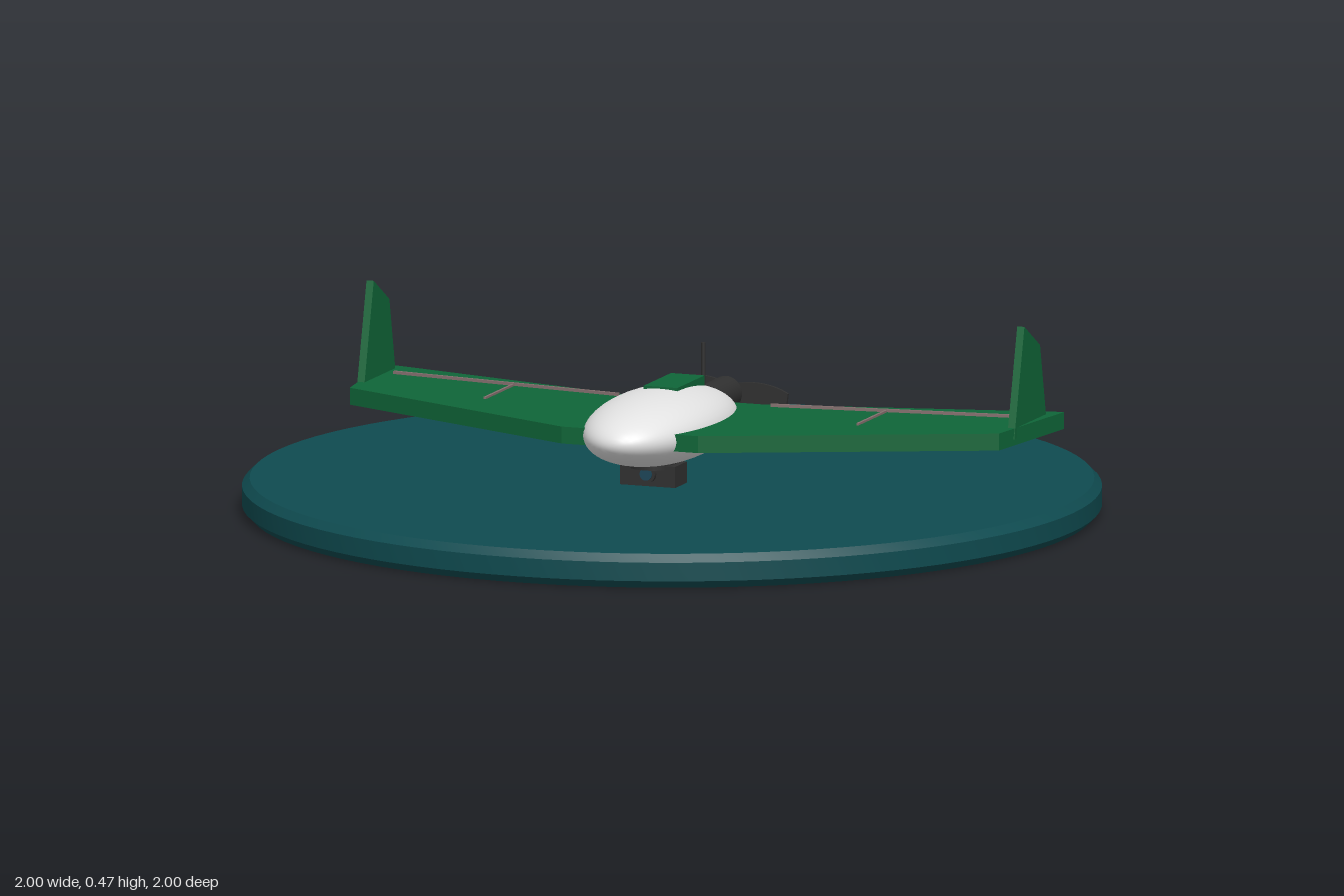
import * as THREE from 'three';
import { toCreasedNormals } from 'three/addons/utils/BufferGeometryUtils.js';

const mat = (name, color, side = THREE.FrontSide) => {
  const m = new THREE.MeshStandardMaterial({ color, side });
  m.name = name;
  return m;
};

// Closed polygon with straight edges
function polygon(points) {
  return new THREE.Shape(points.map(([x, y]) => new THREE.Vector2(x, y)));
}

function extrude(shape, depth) {
  return new THREE.ExtrudeGeometry(shape, { depth, bevelEnabled: false, curveSegments: 16 });
}

export function createModel() {
  const model = new THREE.Group();
  model.name = 'flyingWingOnStand';

  const teal = mat('teal', 0x0f4b50);
  const green = mat('green', 0x0f6638);
  const white = mat('offWhite', 0xe2e2e2);
  const dark = mat('charcoal', 0x303030);
  const silver = mat('silver', 0xb4b4b4);
  const seam = mat('seamGrey', 0x85706f);
  const glass = mat('lensBlue', 0x1c4658);

  const add = (name, geometry, material, x = 0, y = 0, z = 0, parent = model) => {
    const mesh = new THREE.Mesh(geometry, material);
    mesh.name = name;
    mesh.position.set(x, y, z);
    parent.add(mesh);
    return mesh;
  };

  // Round base with a narrow bevel
  const profile = [[0, 0], [0.982, 0], [1, 0.018], [1, 0.062], [0.982, 0.08], [0, 0.08]];
  const base = new THREE.LatheGeometry(profile.map(([x, y]) => new THREE.Vector2(x, y)), 96);
  add('base', toCreasedNormals(base, 0.5), teal);

  // Egg-shaped fuselage and flat top hatch
  const body = new THREE.SphereGeometry(1, 48, 32);
  body.rotateX(Math.PI / 2);
  body.scale(0.154, 0.085, 0.302);
  add('fuselage', body, white, 0, 0.217, 0.073);
  add('hatch', new THREE.BoxGeometry(0.084, 0.025, 0.175), green, 0, 0.294, -0.014);

  // Swept wing, one piece; the shape's y is -z
  const half = [[0.17, -0.27], [0.81, 0.015], [0.85, 0.33], [0.17, 0.165]];
  const mirrored = half.map(([x, y]) => [-x, y]).reverse();
  const wing = extrude(polygon([...half, ...mirrored]), 0.04);
  wing.rotateX(-Math.PI / 2);
  add('wing', wing, green, 0, 0.195, 0);

  // Tip fins and wing seams on both sides
  const finShape = polygon([[0.085, 0.21], [0.15, 0.465], [0.25, 0.405], [0.293, 0.21]]);
  for (const s of [1, -1]) {
    const side = s > 0 ? 'left' : 'right';
    const fin = extrude(finShape, 0.018);
    fin.translate(0, 0, -0.009);
    fin.rotateY(Math.PI / 2);
    add(side + 'Fin', fin, green, s * 0.812, 0, 0);

    const a = new THREE.Vector2(0.19, -0.145), b = new THREE.Vector2(0.78, -0.22);
    const hinge = add(side + 'HingeLine', new THREE.BoxGeometry(a.distanceTo(b), 0.008, 0.007),
      seam, s * (a.x + b.x) / 2, 0.238, (a.y + b.y) / 2);
    hinge.rotation.y = s * Math.atan2(a.y - b.y, b.x - a.x);
    add(side + 'PanelLine', new THREE.BoxGeometry(0.006, 0.006, 0.18), seam, s * 0.465, 0.237, -0.085);
  }

  // Rear motor, hub and two-bladed pusher propeller
  const motor = new THREE.CylinderGeometry(0.04, 0.04, 0.15, 32);
  motor.rotateX(Math.PI / 2);
  add('motor', motor, dark, 0, 0.221, -0.27);
  const hub = new THREE.CylinderGeometry(0.02, 0.02, 0.035, 24);
  hub.rotateX(Math.PI / 2);
  add('propellerHub', hub, silver, 0, 0.221, -0.361);

  const propeller = new THREE.Group();
  propeller.name = 'propeller';
  propeller.position.set(0, 0.221, -0.364);
  model.add(propeller);
  const blade = new THREE.Shape();
  blade.moveTo(0, -0.014);
  blade.bezierCurveTo(0.04, -0.04, 0.09, -0.04, 0.145, -0.02);
  blade.lineTo(0.148, 0.004);
  blade.bezierCurveTo(0.1, 0.03, 0.04, 0.03, 0, 0.014);
  for (const turn of [0, Math.PI]) {
    const mesh = add('blade', extrude(blade, 0.008), dark, 0, 0, -0.004, propeller);
    mesh.rotation.z = turn;
  }

  // Antenna
  add('antenna', new THREE.CylinderGeometry(0.005, 0.005, 0.12, 12), dark, 0, 0.305, -0.2);

  // Belly camera: mount, housing and forward lens
  add('cameraMount', new THREE.CylinderGeometry(0.055, 0.055, 0.025, 32), dark, 0, 0.139, 0.122);
  add('cameraHousing', new THREE.BoxGeometry(0.138, 0.05, 0.076), dark, 0, 0.111, 0.118);
  const ring = new THREE.CylinderGeometry(0.022, 0.022, 0.012, 24);
  ring.rotateX(Math.PI / 2);
  add('lensRing', ring, dark, 0, 0.116, 0.16);
  const lens = new THREE.CylinderGeometry(0.015, 0.015, 0.006, 24);
  lens.rotateX(Math.PI / 2);
  add('lens', lens, glass, 0, 0.116, 0.166);

  return model;
}
